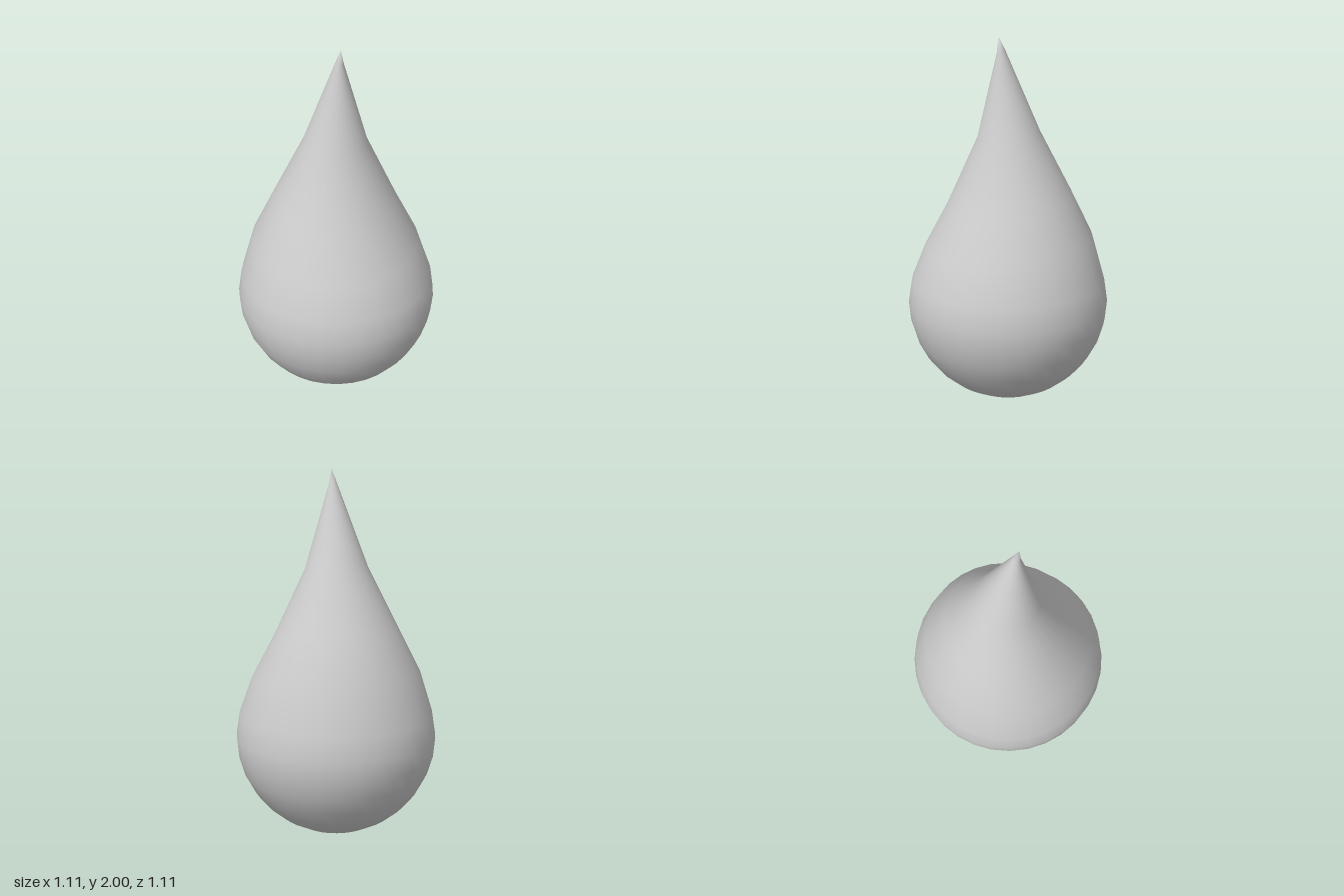
import * as THREE from 'three';
import { mergeVertices } from 'three/addons/utils/BufferGeometryUtils.js';

export function createModel() {
  const group = new THREE.Group();
  group.name = 'teardrop';

  // Rings from bottom to top: [radius, height, forward shift, forward tilt]
  const rings = [[0, 0, 0, 0]];
  const R = 0.556, centre = 0.546, step = Math.PI / 16;

  // Round lower half, slightly flattened underneath
  for (let i = 1; i <= 8; i++) {
    rings.push([R * Math.sin(i * step), Math.max(0, centre - R * Math.cos(i * step)), 0, 0]);
  }
  // Tapering upper half, leaning a little towards the front
  rings.push(
    [0.536, 0.675, 0, 0],
    [0.464, 0.889, -0.002, 0.04],
    [0.339, 1.131, -0.008, 0.04],
    [0.17, 1.478, -0.005, 0.018],
    [0.021, 1.925, 0.043, 0.01],
    [0, 2, 0.057, 0],
  );

  const profile = rings.map(([r, y]) => new THREE.Vector2(r, y));
  let geometry = new THREE.LatheGeometry(profile, 32);
  const pos = geometry.attributes.position;
  for (let i = 0; i < pos.count; i++) {
    const [r, y, shift, tilt] = rings[i % rings.length];
    const z = pos.getZ(i);
    pos.setY(i, r > 0 ? y - (tilt * z) / r : y);
    pos.setZ(i, z + shift);
  }

  // Weld the seam so the shading stays smooth all round
  geometry.deleteAttribute('uv');
  geometry.deleteAttribute('normal');
  geometry = mergeVertices(geometry, 1e-4);
  geometry.computeVertexNormals();

  const drop = new THREE.Mesh(geometry, new THREE.MeshStandardMaterial({ color: 0xcccccc }));
  drop.name = 'dropBody';
  group.add(drop);
  return group;
}
